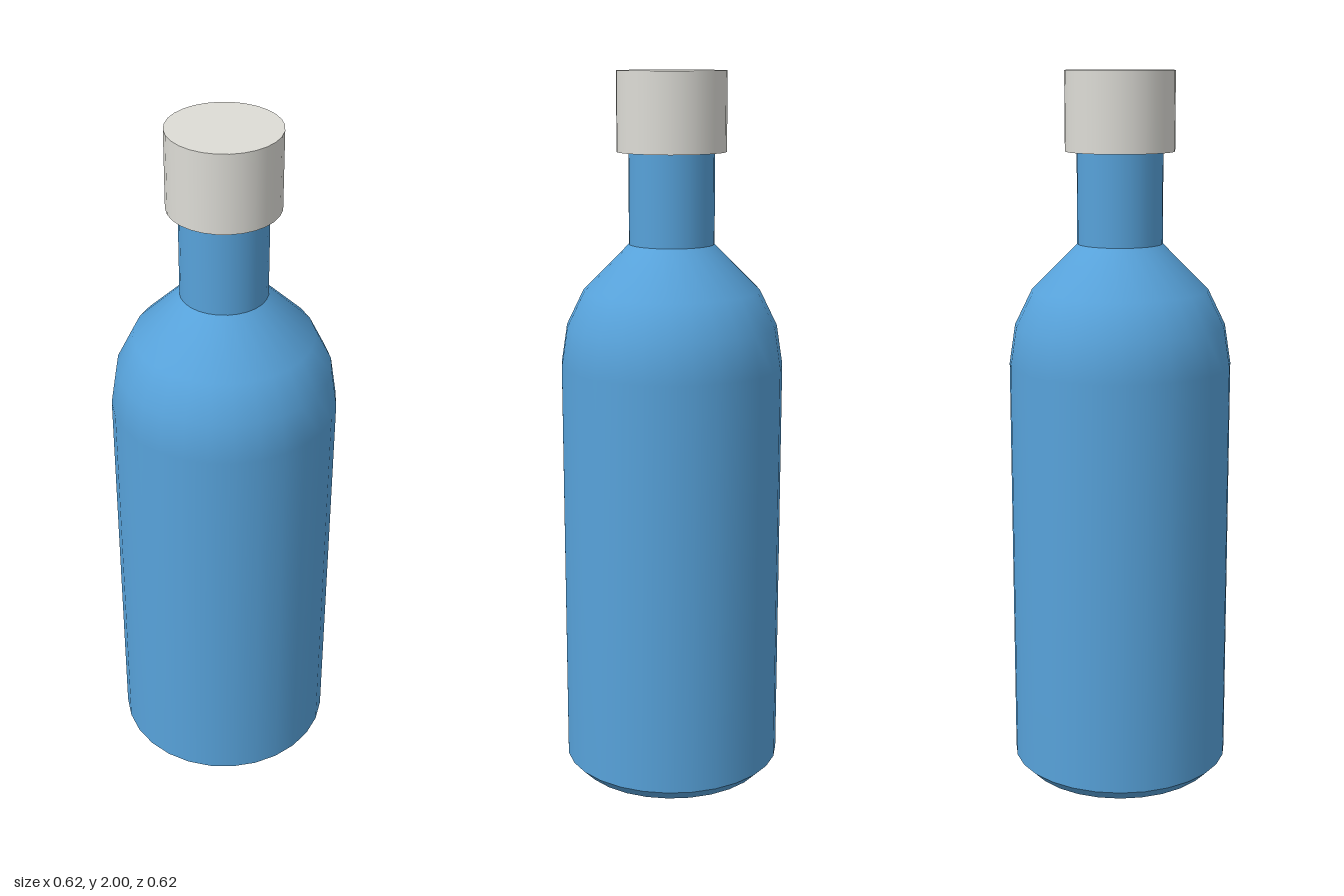
import * as THREE from 'three';

const SIDES = 28;

export function createModel() {
  const model = new THREE.Group();
  const blue = new THREE.MeshStandardMaterial({ color: 0x57a2da });
  blue.name = 'bottle blue';
  const grey = new THREE.MeshStandardMaterial({ color: 0xdddcd6 });
  grey.name = 'cap light grey';

  const add = (name, geometry, material, y = 0) => {
    const mesh = new THREE.Mesh(geometry, material);
    mesh.name = name;
    mesh.position.y = y;
    model.add(mesh);
    return mesh;
  };
  // Turned section from [radius, height] pairs, bottom to top
  const turn = (points) =>
    new THREE.LatheGeometry(points.map(([r, y]) => new THREE.Vector2(r, y)), SIDES);

  // Flat bottom and chamfered foot, kept separate for sharp edges
  add('bottom', new THREE.CircleGeometry(0.275, SIDES), blue).rotation.x = Math.PI / 2;
  add('foot', turn([[0.275, 0], [0.31, 0.035]]), blue);

  // Straight body running smoothly into the shoulder
  add('body', turn([
    [0.31, 0.035], [0.31, 1.2], [0.293, 1.31], [0.245, 1.408], [0.118, 1.535],
  ]), blue);

  // Neck, reaching up into the cap
  add('neck', turn([[0.118, 1.535], [0.118, 1.8]]), blue);

  // Solid cap
  add('cap', new THREE.CylinderGeometry(0.15, 0.15, 0.215, SIDES), grey, 1.8925);

  return model;
}
